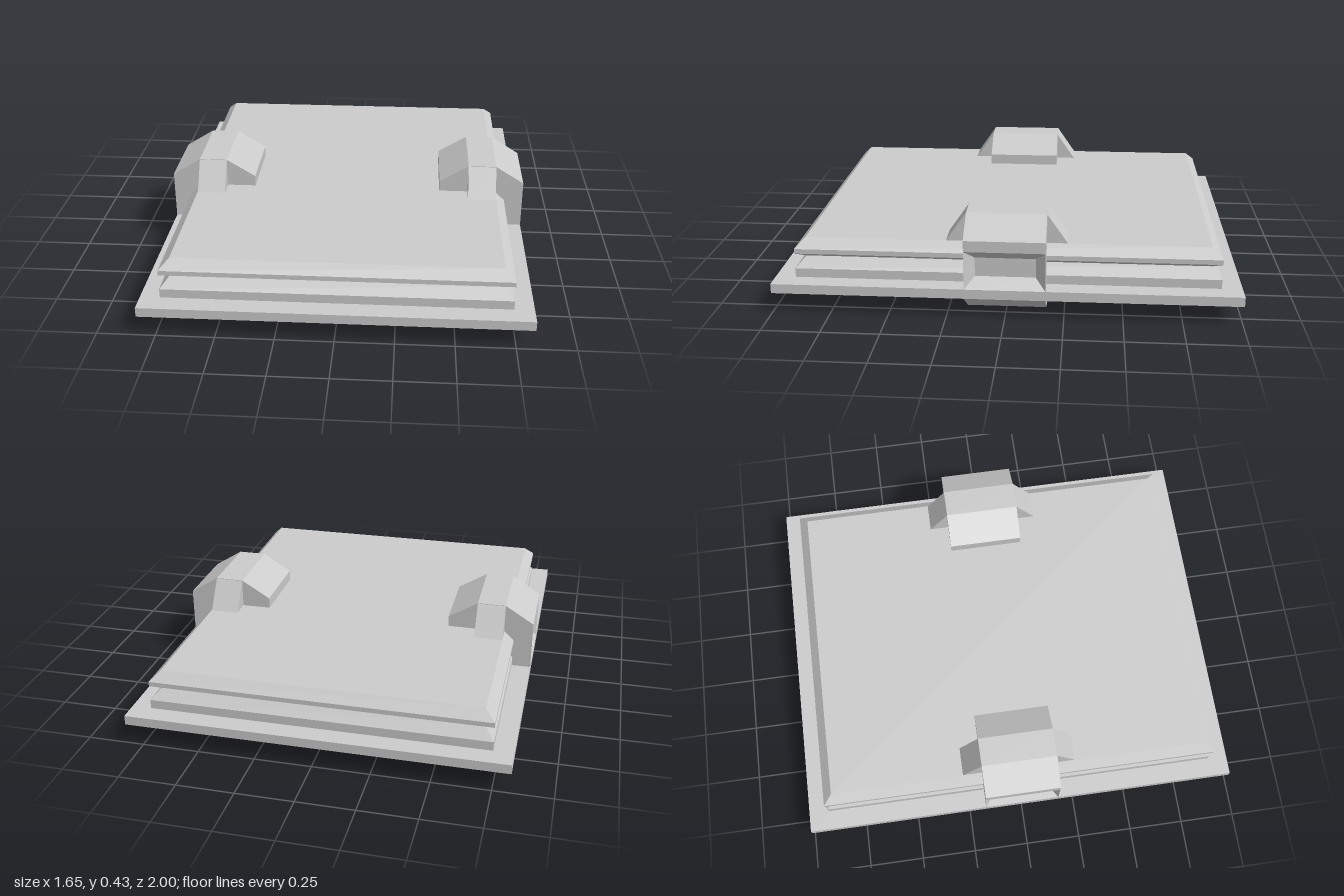
import * as THREE from 'three';

const material = new THREE.MeshStandardMaterial({ color: 0xcccccc, flatShading: true });

// Flat-faced mesh from a list of triangles and quads (arrays of Vector3)
function facetMesh(name, faces) {
  const points = [];
  for (const f of faces) {
    for (let i = 1; i < f.length - 1; i++) points.push(f[0], f[i], f[i + 1]);
  }
  const geometry = new THREE.BufferGeometry().setFromPoints(points);
  geometry.computeVertexNormals();
  const mesh = new THREE.Mesh(geometry, material);
  mesh.name = name;
  return mesh;
}

const v = (x, y, z) => new THREE.Vector3(x, y, z);

// Four quads between two loops of four corners
const band = (lo, hi) => lo.map((p, i) => [p, lo[(i + 1) % 4], hi[(i + 1) % 4], hi[i]]);

// Rectangular rings [half width, y, half depth] joined and capped
function rectLoft(name, rings) {
  const loops = rings.map(([w, y, d]) => [v(w, y, d), v(w, y, -d), v(-w, y, -d), v(-w, y, d)]);
  const faces = [[...loops[0]].reverse(), loops[loops.length - 1]];
  for (let i = 0; i < loops.length - 1; i++) faces.push(...band(loops[i], loops[i + 1]));
  return facetMesh(name, faces);
}

// Replace a quad by a sunken panel; each step is [inset along z, inset along edge, depth]
function pocket(quad, steps) {
  const [a, b, , d] = quad;
  const u = b.clone().sub(a).normalize();
  const w = d.clone().sub(a).normalize();
  const n = u.clone().cross(w);
  const signs = [[1, 1], [-1, 1], [-1, -1], [1, -1]];
  const faces = [];
  let outer = quad;
  for (const [du, dw, depth] of steps) {
    const inner = quad.map((p, i) => p.clone()
      .addScaledVector(u, signs[i][0] * du)
      .addScaledVector(w, signs[i][1] * dw)
      .addScaledVector(n, -depth));
    faces.push(...band(outer, inner));
    outer = inner;
  }
  return [...faces, outer];
}

// Clamp that wraps the plate edge, with pockets in its side and underside
function makeClamp() {
  const half = 0.172;
  const profile = [
    [0.36, 0], [0.69, 0], [0.825, 0.09], [0.825, 0.132], [0.825, 0.302], [0.825, 0.351],
    [0.695, 0.432], [0.567, 0.432], [0.435, 0.351], [0.435, 0.13], [0.16, 0.113],
  ].map(([x, y]) => new THREE.Vector2(x, y));
  const pockets = {
    0: [[0.03, 0.005, 0], [0.07, 0.045, 0.055]],
    3: [[0.043, 0.043, 0.05]],
  };

  const faces = [];
  profile.forEach((a, i) => {
    const b = profile[(i + 1) % profile.length];
    const quad = [v(a.x, a.y, half), v(a.x, a.y, -half), v(b.x, b.y, -half), v(b.x, b.y, half)];
    if (pockets[i]) faces.push(...pocket(quad, pockets[i]));
    else faces.push(quad);
  });
  for (const tri of THREE.ShapeUtils.triangulateShape(profile, [])) {
    const at = (z) => tri.map((i) => v(profile[i].x, profile[i].y, z));
    faces.push(at(half), at(-half).reverse());
  }

  // Sloping brace that shows at both ends of the clamp
  const trapezoid = new THREE.Shape([
    [-0.262, 0.3], [0.262, 0.3], [0.172, 0.43], [-0.172, 0.43],
  ].map(([z, y]) => new THREE.Vector2(z, y)));
  const braceGeometry = new THREE.ExtrudeGeometry(trapezoid, { depth: 0.128, bevelEnabled: false });
  braceGeometry.rotateY(Math.PI / 2).translate(0.567, 0, 0);
  const brace = new THREE.Mesh(braceGeometry, material);
  brace.name = 'clampBrace';

  const clamp = new THREE.Group();
  clamp.add(facetMesh('clampBody', faces), brace);
  return clamp;
}

export function createModel() {
  const model = new THREE.Group();
  model.name = 'clampedPlate';

  // Base plate with a bevelled edge, a narrow flat rim and a recess underneath
  model.add(rectLoft('basePlate', [
    [0.54, 0.113, 0.715], [0.61, 0.044, 0.785], [0.65, 0.044, 0.825],
    [0.825, 0.09, 1], [0.825, 0.132, 1],
  ]));

  // Stacked slabs separated by a V groove
  model.add(rectLoft('groovedSlab', [
    [0.74, 0.128, 0.912], [0.74, 0.172, 0.912], [0.7, 0.217, 0.87],
    [0.74, 0.24, 0.912], [0.74, 0.261, 0.912], [0.697, 0.302, 0.87],
  ]));

  // One clamp on each side
  for (const [name, turn] of [['leftClamp', 0], ['rightClamp', Math.PI]]) {
    const clamp = makeClamp();
    clamp.name = name;
    clamp.rotation.y = turn;
    model.add(clamp);
  }
  return model;
}
